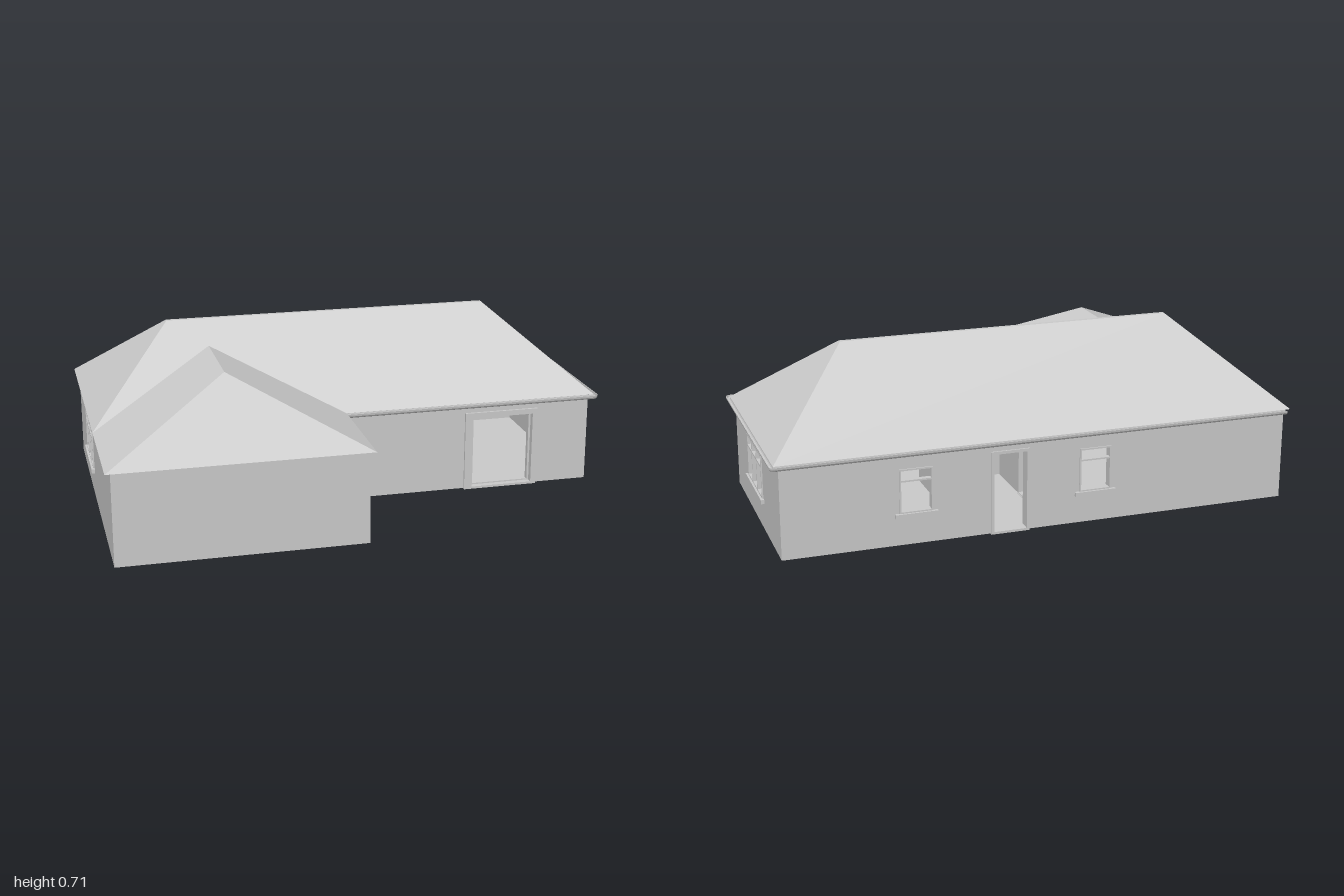
import * as THREE from 'three';

const MAT = new THREE.MeshStandardMaterial({ color: 0xcccccc, flatShading: true, side: THREE.DoubleSide });
const T = 0.04;              // wall thickness
const Y0 = 0.055, Y1 = 0.412; // wall bottom and top

function add(parent, name, geometry) {
  const mesh = new THREE.Mesh(geometry, MAT);
  mesh.name = name;
  parent.add(mesh);
  return mesh;
}

function rectPath(path, [u0, u1, y0, y1]) {
  path.moveTo(u0, y0);
  path.lineTo(u1, y0);
  path.lineTo(u1, y1);
  path.lineTo(u0, y1);
  path.closePath();
  return path;
}

// Upright slab with rectangular holes. axis 'x': runs along x from z = at to at + depth.
// axis 'z': runs along z from x = at to at + depth. Rectangles are [u0, u1, y0, y1].
function slab(parent, name, axis, rect, holes, at, depth) {
  const shape = rectPath(new THREE.Shape(), rect);
  for (const h of holes) shape.holes.push(rectPath(new THREE.Path(), h));
  const geo = new THREE.ExtrudeGeometry(shape, { depth, bevelEnabled: false });
  if (axis === 'x') geo.translate(0, 0, at);
  else geo.rotateY(-Math.PI / 2).translate(at + depth, 0, 0);
  return add(parent, name, geo);
}

function box(parent, name, x0, x1, y0, y1, z0, z1) {
  return add(parent, name, new THREE.BoxGeometry(x1 - x0, y1 - y0, z1 - z0)
    .translate((x0 + x1) / 2, (y0 + y1) / 2, (z0 + z1) / 2));
}

// Convex polygons, corners counter-clockwise from outside
function polygons(faces) {
  const pos = [];
  for (const f of faces)
    for (let i = 1; i < f.length - 1; i++) pos.push(...f[0], ...f[i], ...f[i + 1]);
  const geo = new THREE.BufferGeometry();
  geo.setAttribute('position', new THREE.Float32BufferAttribute(pos, 3));
  geo.computeVertexNormals();
  return geo;
}

// Window frame with equal columns, a transom and an outside sill; out is the outward sign
function windowUnit(parent, name, axis, u0, u1, columns, face, out) {
  const group = new THREE.Group();
  group.name = name;
  parent.add(group);
  const b = 0.006, y0 = 0.175, y1 = 0.342, yt = 0.297;
  const panes = [];
  const w = (u1 - u0 - b) / columns;
  for (let i = 0; i < columns; i++) {
    const a = u0 + i * w + b, c = u0 + (i + 1) * w;
    panes.push([a, c, y0 + b, yt - b / 2], [a, c, yt + b / 2, y1 - b]);
  }
  const start = (near, far) => Math.min(face + out * near, face + out * far);
  slab(group, 'windowFrame', axis, [u0, u1, y0, y1], panes, start(-0.015, 0.005), 0.02);
  slab(group, 'windowSill', axis, [u0 - 0.017, u1 + 0.017, 0.16, 0.176], [], start(-0.01, 0.013), 0.023);
}

// Half-round gutter swept round the back, the left side and the front of the main roof
function gutterGeometry() {
  const path = [[-0.98, -0.643, -Math.PI / 2]];
  for (let i = 0; i <= 4; i++) path.push([0.981, -0.643, -Math.PI / 2 + i * Math.PI / 8]);
  for (let i = 0; i <= 4; i++) path.push([0.981, 0.202, i * Math.PI / 8]);
  path.push([-0.03, 0.202, Math.PI / 2]);
  const profile = [];
  for (let i = 0; i <= 6; i++) {
    const a = Math.PI + i * Math.PI / 6;
    profile.push([0.0095 + 0.0095 * Math.cos(a), 0.41 + 0.016 * Math.sin(a)]);
  }
  for (let i = 6; i >= 0; i--) {
    const a = Math.PI + i * Math.PI / 6;
    profile.push([0.0095 + 0.007 * Math.cos(a), 0.41 + 0.013 * Math.sin(a)]);
  }
  const rings = path.map(([x, z, a]) => profile.map(([d, y]) => [x + d * Math.cos(a), y, z + d * Math.sin(a)]));
  const faces = [];
  const n = profile.length;
  for (let i = 0; i < rings.length - 1; i++)
    for (let j = 0; j < n; j++) {
      const k = (j + 1) % n;
      faces.push([rings[i][j], rings[i + 1][j], rings[i + 1][k], rings[i][k]]);
    }
  // End caps, strip by strip between the outer and inner arcs
  for (const r of [rings[0], rings[rings.length - 1]])
    for (let j = 0; j < 6; j++) faces.push([r[j], r[j + 1], r[n - 2 - j], r[n - 1 - j]]);
  return polygons(faces);
}

export function createModel() {
  const house = new THREE.Group();
  house.name = 'house';

  // Openings
  const sideWindow = [-0.325, -0.06];
  const backWindows = [[0.413, 0.537], [-0.272, -0.148]];
  const frontDoor = [0.483, 0.731, 0.061, 0.348];
  const backDoor = [0.058, 0.184, 0.061, 0.358];
  const hole = ([a, b]) => [a + 0.001, b - 0.001, 0.176, 0.341];

  // Outer walls
  const walls = new THREE.Group();
  walls.name = 'walls';
  house.add(walls);
  slab(walls, 'backWall', 'x', [-0.98, 0.965, Y0, Y1], [backDoor, ...backWindows.map(hole)], -0.63, T);
  slab(walls, 'frontWall', 'x', [-0.05, 0.965, Y0, Y1], [frontDoor], 0.15, T);
  slab(walls, 'leftWall', 'z', [-0.59, 0.15, Y0, Y1], [hole(sideWindow)], 0.925, T);
  slab(walls, 'rightWall', 'z', [-0.59, 0.6, Y0, Y1], [hole(sideWindow)], -0.98, T);
  slab(walls, 'wingFrontWall', 'x', [-0.98, -0.05, Y0, Y1], [], 0.6, T);
  slab(walls, 'wingSideWall', 'z', [0.15, 0.6, Y0, Y1], [], -0.09, T);

  // Floors
  box(house, 'mainFloor', -0.94, 0.925, Y0, 0.06, -0.59, 0.15);
  box(house, 'wingFloor', -0.94, -0.09, Y0, 0.06, 0.15, 0.6);

  // Partitions and their door thresholds
  const inner = new THREE.Group();
  inner.name = 'partitions';
  house.add(inner);
  const P0 = 0.06, D0 = 0.064, D1 = 0.345;
  slab(inner, 'crossPartition', 'z', [-0.59, 0.15, P0, Y1], [[-0.43, -0.29, D0, D1]], -0.075, T);
  slab(inner, 'wingPartition', 'x', [-0.94, -0.09, P0, Y1],
    [[-0.705, -0.575, D0, D1], [-0.465, -0.335, D0, D1]], 0.15, T);
  slab(inner, 'hallPartition', 'z', [-0.59, -0.03, P0, Y1], [], 0.26, 0.03);
  slab(inner, 'hallOpening', 'x', [-0.035, 0.26, P0, Y1], [[0.005, 0.25, D0, D1]], -0.065, 0.035);
  box(inner, 'threshold', -0.08, -0.03, 0.05, 0.062, -0.435, -0.285);
  box(inner, 'threshold', 0, 0.26, 0.05, 0.062, -0.065, -0.03);
  for (const x of [-0.71, -0.47]) box(inner, 'threshold', x, x + 0.14, 0.05, 0.062, 0.145, 0.17);

  // Door casings
  slab(house, 'frontDoorCasing', 'x', [0.452, 0.751, 0.052, 0.369], [frontDoor], 0.185, 0.014);
  slab(house, 'frontDoorFrame', 'x', frontDoor, [[0.493, 0.723, 0.066, 0.34]], 0.155, 0.02);
  slab(house, 'backDoorCasing', 'x', [0.047, 0.195, 0.052, 0.369], [backDoor], -0.636, 0.046);

  // Windows
  windowUnit(house, 'leftWindow', 'z', ...sideWindow, 3, 0.965, 1);
  windowUnit(house, 'rightWindow', 'z', ...sideWindow, 3, -0.98, -1);
  for (const w of backWindows) windowUnit(house, 'backWindow', 'x', ...w, 1, -0.63, -1);

  // Hipped main roof with a narrow flat ridge
  const e = 0.41, r = 0.712;
  const fl = [-1, e, 0.2], fr = [0.985, e, 0.2], bl = [-1, e, -0.645], br = [0.985, e, -0.645];
  const rfl = [-0.66, r, -0.208], rfr = [0.64, r, -0.208], rbl = [-0.66, r, -0.225], rbr = [0.64, r, -0.225];
  add(house, 'mainRoof', polygons([
    [fl, fr, rfr, rfl], [br, bl, rbl, rbr], [fr, br, rbr, rfr], [bl, fl, rfl, rbl], [rfl, rfr, rbr, rbl],
  ]));

  // Wing roof running back into the main slope
  const wl = [-1, e, 0.655], wr = [-0.03, e, 0.655], inr = [-0.03, e, 0.2];
  const tip = [-0.512, 0.63, 0.265], end = [-0.512, 0.63, -0.1];
  add(house, 'wingRoof', polygons([[wl, wr, tip], [fl, wl, tip, end], [wr, inr, end, tip]]));

  // Gutter and downpipe
  add(house, 'gutter', gutterGeometry());
  add(house, 'downpipe', new THREE.CylinderGeometry(0.008, 0.008, 0.4, 12).translate(-0.04, 0.2, 0.214));

  return house;
}
